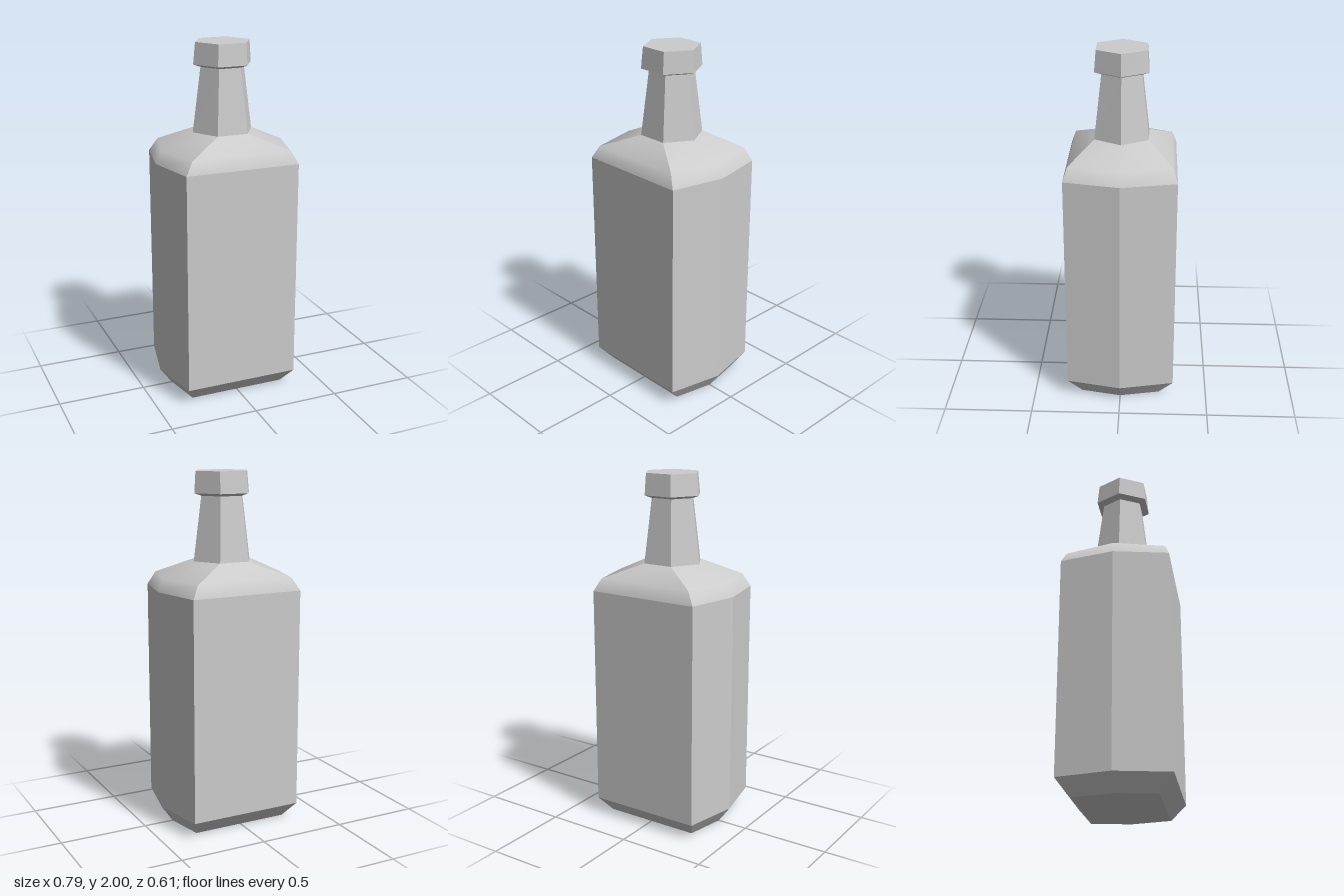
import * as THREE from 'three';

// Hexagonal ring: height y, half-width at the side tips, half-width and half-depth at the corners
function ring([y, tip, corner, depth, cx = 0.003]) {
  return [
    [tip, 0], [corner, -depth], [-corner, -depth],
    [-tip, 0], [-corner, depth], [corner, depth],
  ].map(([x, z]) => new THREE.Vector3(x + cx, y, z));
}

// Back, right, front and left strips of the hexagon, as corner indices
const SIDES = [[1, 2], [2, 3, 4], [4, 5], [5, 0, 1]];

// Skin between successive rings; every strip keeps its own vertices so its borders stay sharp
function loft(name, sections, { smooth = false, capBottom = false, capTop = false } = {}) {
  const rings = sections.map(ring);
  const pos = [], idx = [];
  for (const side of SIDES) {
    const start = pos.length / 3, n = side.length;
    for (const r of rings) for (const k of side) pos.push(...r[k].toArray());
    for (let i = 0; i < rings.length - 1; i++) {
      for (let j = 0; j < n - 1; j++) {
        const a = start + i * n + j, b = a + 1, c = a + n, d = c + 1;
        idx.push(a, b, d, a, d, c);
      }
    }
  }
  const addCap = (r, up) => {
    const start = pos.length / 3;
    for (const p of r) pos.push(...p.toArray());
    for (let k = 1; k < 5; k++) {
      if (up) idx.push(start, start + k, start + k + 1);
      else idx.push(start, start + k + 1, start + k);
    }
  };
  if (capBottom) addCap(rings[0], false);
  if (capTop) addCap(rings[rings.length - 1], true);

  const geo = new THREE.BufferGeometry();
  geo.setAttribute('position', new THREE.Float32BufferAttribute(pos, 3));
  geo.setIndex(idx);
  geo.computeVertexNormals();
  const mesh = new THREE.Mesh(geo, new THREE.MeshStandardMaterial({ color: 0xcccccc, flatShading: !smooth }));
  mesh.name = name;
  return mesh;
}

export function createModel() {
  const bottle = new THREE.Group();
  bottle.name = 'bottle';

  const foot = [0.095, 0.393, 0.328, 0.306, 0.001];
  const bodyTop = [1.35, 0.393, 0.328, 0.306, 0.001];
  const neckBase = [1.507, 0.176, 0.088, 0.149];
  const neckTop = [1.865, 0.128, 0.064, 0.109];

  bottle.add(
    // Bevelled base and straight body
    loft('base', [[0, 0.325, 0.279, 0.225], foot], { capBottom: true }),
    loft('body', [foot, bodyTop]),
    // Softly shaded shoulder
    loft('shoulder', [bodyTop, [1.422, 0.364, 0.287, 0.281], neckBase], { smooth: true }),
    loft('neck', [neckBase, neckTop]),
    // Stopper with a bevelled underside
    loft('stopper', [neckTop, [1.88, 0.17, 0.085, 0.146], [2, 0.16, 0.08, 0.136, 0.005]], { capTop: true }),
  );
  return bottle;
}
